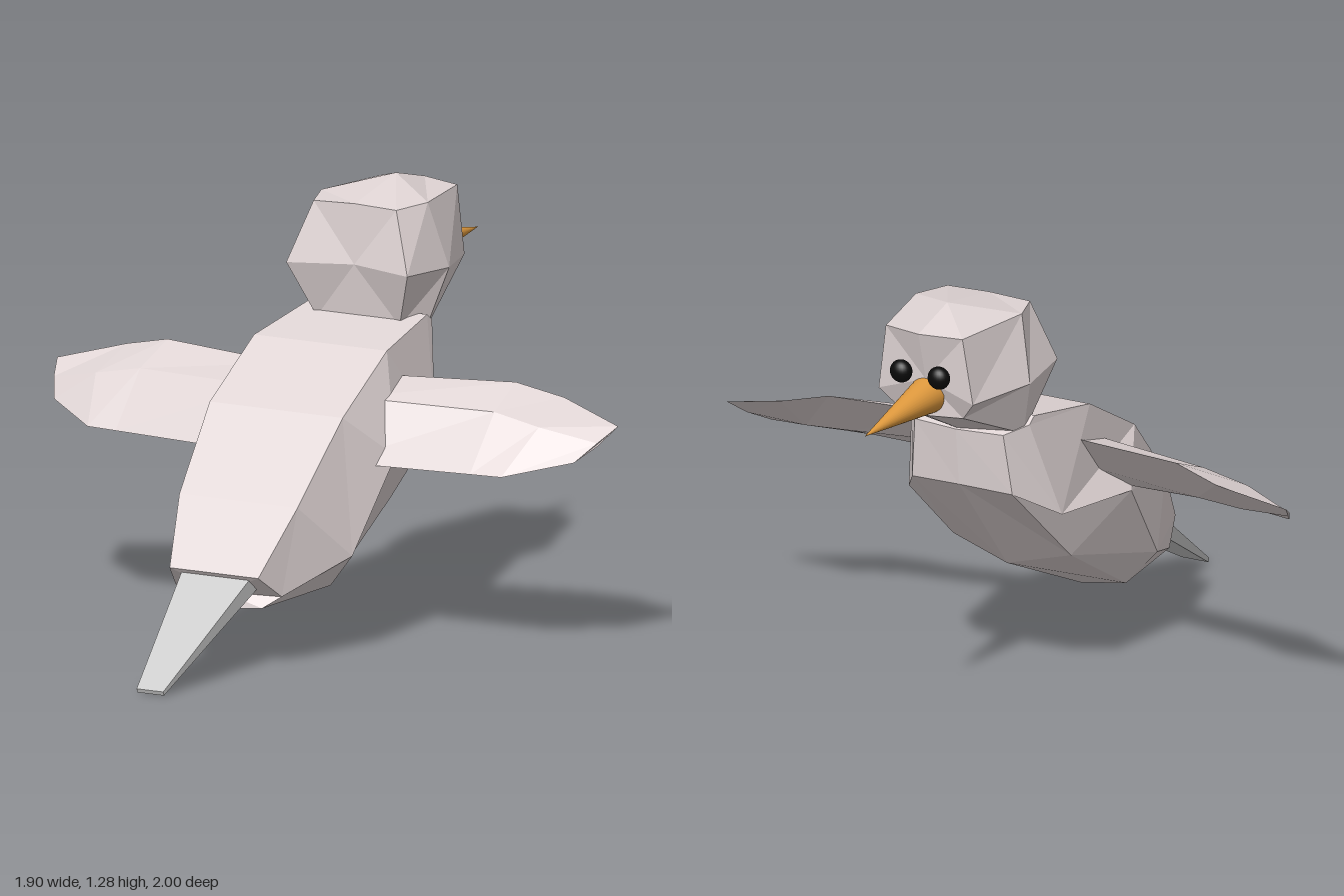
import * as THREE from 'three';

const plumage = new THREE.MeshStandardMaterial({ color: 0xe0d5d5, flatShading: true, side: THREE.DoubleSide });
const grey = new THREE.MeshStandardMaterial({ color: 0xcccccc, flatShading: true, side: THREE.DoubleSide });
const horn = new THREE.MeshStandardMaterial({ color: 0xe09a3e });
const black = new THREE.MeshStandardMaterial({ color: 0x0a0a0a });

// Faceted skin through closed rings of [x, y, z], capped at both ends
function loft(name, rings, material) {
  const n = rings[0].length, pos = [];
  const tri = (...corners) => corners.forEach(c => pos.push(...c));
  for (let i = 0; i < rings.length - 1; i++) {
    for (let j = 0; j < n; j++) {
      const k = (j + 1) % n;
      const a = rings[i][j], b = rings[i][k], c = rings[i + 1][j], d = rings[i + 1][k];
      tri(a, b, c);
      tri(b, d, c);
    }
  }
  const middle = ring => [0, 1, 2].map(t => ring.reduce((s, p) => s + p[t], 0) / n);
  const first = rings[0], last = rings[rings.length - 1];
  for (let j = 0; j < n; j++) {
    const k = (j + 1) % n;
    tri(middle(first), first[k], first[j]);
    tri(middle(last), last[j], last[k]);
  }
  const geo = new THREE.BufferGeometry();
  geo.setAttribute('position', new THREE.Float32BufferAttribute(pos, 3));
  geo.computeVertexNormals();
  const mesh = new THREE.Mesh(geo, material);
  mesh.name = name;
  return mesh;
}

// Completes a half ring (top to bottom on the +x side) with its mirror image
const mirrorRing = half => [
  ...half,
  ...half.filter(p => p[0] > 0).reverse().map(([x, y, z]) => [-x, y, z]),
];

export function createModel() {
  const bird = new THREE.Group();
  bird.name = 'bird';

  // Body, rump to neck: back edge, flank, lower flank, keel
  bird.add(loft('body', [
    [[0.15, 0.29, 0.61], [0.18, 0.22, 0.52], [0.13, 0.185, 0.55], [0, 0.175, 0.57]],
    [[0.20, 0.48, 0.46], [0.28, 0.305, 0.27], [0.19, 0.20, 0.24], [0, 0.145, 0.31]],
    [[0.225, 0.71, 0.23], [0.31, 0.57, 0.06], [0.20, 0.40, -0.11], [0, 0.35, -0.14]],
    [[0.225, 0.86, -0.04], [0.26, 0.59, -0.27], [0.17, 0.68, -0.41], [0, 0.69, -0.43]],
    [[0.20, 0.91, -0.33], [0.20, 0.89, -0.36], [0.15, 0.87, -0.43], [0, 0.87, -0.45]],
  ].map(mirrorRing), plumage));

  // Head, nape to face: crown, crown edge, cheek, jaw edge, throat
  bird.add(loft('head', [
    [[0, 1.24, -0.25], [0.14, 1.235, -0.25], [0.205, 1.05, -0.20], [0.14, 0.88, -0.27], [0, 0.88, -0.27]],
    [[0, 1.285, -0.50], [0.18, 1.24, -0.37], [0.23, 1.04, -0.41], [0.18, 0.86, -0.36], [0, 0.85, -0.40]],
    [[0, 1.24, -0.675], [0.13, 1.235, -0.64], [0.16, 1.03, -0.63], [0.11, 0.97, -0.60], [0, 0.97, -0.63]],
  ].map(mirrorRing), plumage));

  // Wings, root to tip: leading edge, top ridge, trailing edge, underside
  const wing = [
    [[0.15, 0.77, -0.10], [0.15, 0.73, 0.05], [0.15, 0.55, 0.14], [0.15, 0.65, 0.0]],
    [[0.59, 0.78, -0.17], [0.60, 0.72, -0.02], [0.60, 0.56, 0.13], [0.59, 0.63, -0.04]],
    [[0.74, 0.745, -0.195], [0.75, 0.69, -0.02], [0.70, 0.56, 0.12], [0.74, 0.62, -0.04]],
    [[0.95, 0.69, -0.145], [0.92, 0.65, -0.07], [0.88, 0.60, 0.0], [0.92, 0.64, -0.075]],
  ];
  bird.add(loft('leftWing', wing, plumage));
  bird.add(loft('rightWing',
    wing.map(ring => ring.map(([x, y, z]) => [-x, y, z])).reverse(), plumage));

  // Tail, a thin tapered blade running up into the rump
  bird.add(loft('tail', [
    [[0.045, 0.012, 1.0], [0.045, 0, 0.995]],
    [[0.12, 0.30, 0.57], [0.12, 0.25, 0.55]],
  ].map(mirrorRing), grey));

  // Beak
  const beak = new THREE.Mesh(new THREE.ConeGeometry(0.057, 0.38, 32), horn);
  beak.name = 'beak';
  beak.rotation.x = -Math.PI / 2 - 0.03;
  beak.position.set(0, 1.026, -0.81);
  bird.add(beak);

  // Eyes
  for (const side of [1, -1]) {
    const eye = new THREE.Mesh(new THREE.SphereGeometry(0.035, 24, 16), black);
    eye.name = side > 0 ? 'leftEye' : 'rightEye';
    eye.scale.z = 0.8;
    eye.position.set(side * 0.064, 1.11, -0.665);
    bird.add(eye);
  }
  return bird;
}
